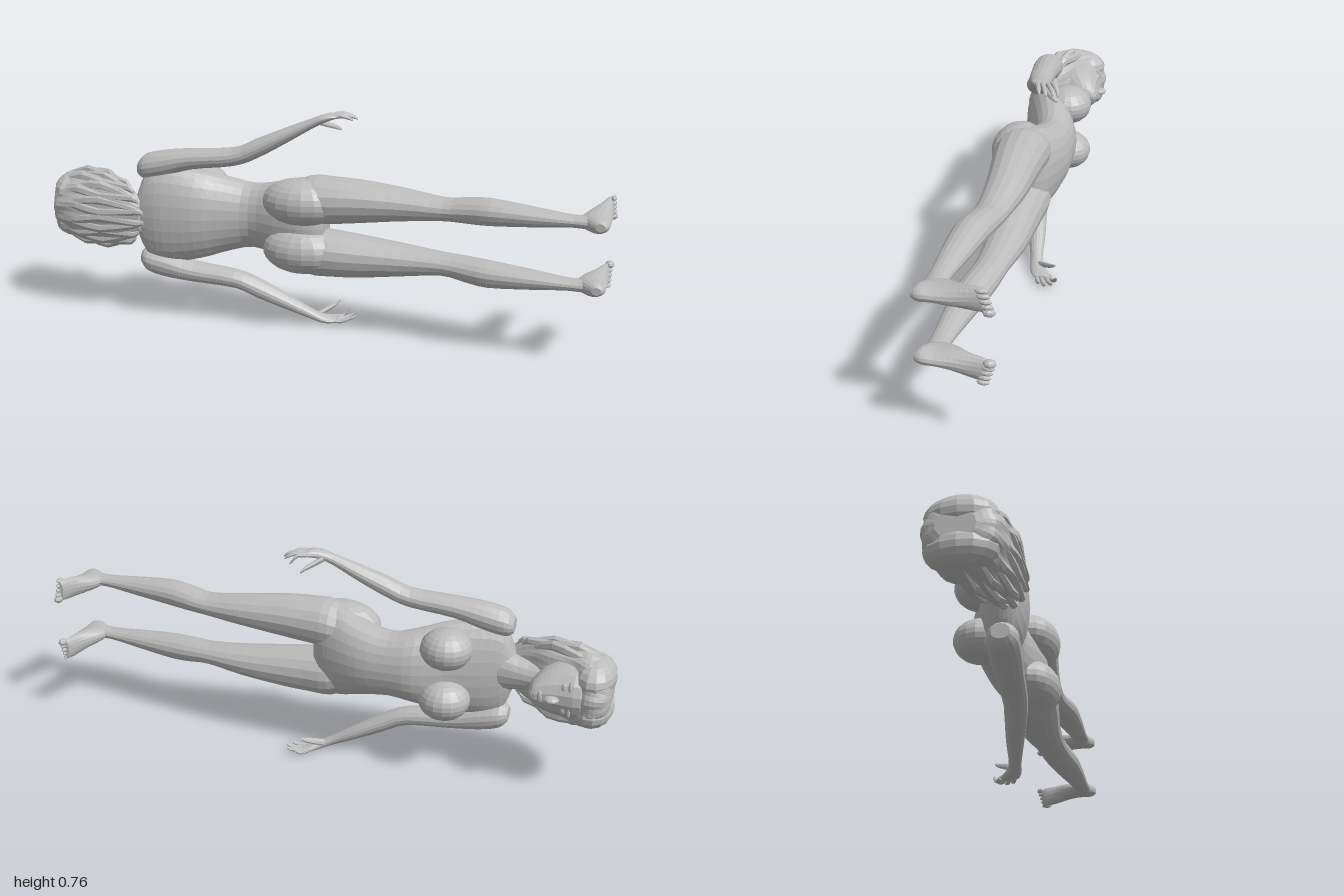
import * as THREE from 'three';

const MID = 0.39; // height of the figure's centre line

export function createModel() {
  const model = new THREE.Group();
  model.name = 'recliningFigure';
  const grey = new THREE.MeshStandardMaterial({ color: 0xbcbcbc });
  grey.name = 'stone grey';

  // Faceted mesh from any geometry
  function add(name, geo, parent = model) {
    const flat = geo.index ? geo.toNonIndexed() : geo;
    flat.computeVertexNormals();
    const mesh = new THREE.Mesh(flat, grey);
    mesh.name = name;
    parent.add(mesh);
    return mesh;
  }

  function ellipsoid(name, c, r, parent, segs = 14) {
    const geo = new THREE.SphereGeometry(1, segs, Math.round(segs * 0.7));
    geo.scale(...r).translate(...c);
    return add(name, geo, parent);
  }

  // Smooth value between listed cross-sections
  function sample(rows, t) {
    const i = Math.min(Math.floor(t), rows.length - 2), f = t - i;
    const at = (k) => rows[Math.max(0, Math.min(rows.length - 1, k))];
    return rows[i].map((b, k) => {
      const a = at(i - 1)[k], c = at(i + 1)[k], d = at(i + 2)[k];
      return b + 0.5 * f * (c - a + f * (2 * a - 5 * b + 4 * c - d + f * (3 * (b - c) + d - a)));
    });
  }

  // Loft of ellipses [position, centreU, centreV, radiusU, radiusV] along x (u=y, v=z) or z (u=x, v=y)
  function loft(name, rows, { axis = 'x', sides = 16, steps = 3, ripple = 0, waves = 9, parent } = {}) {
    const pos = [], idx = [], n = (rows.length - 1) * steps;
    const put = (p, u, v) => (axis === 'x' ? pos.push(p, u, v) : pos.push(u, v, p));
    for (let j = 0; j <= n; j++) {
      const [p, u, v, ru, rv] = sample(rows, j / steps);
      for (let i = 0; i < sides; i++) {
        const a = (i / sides) * Math.PI * 2;
        const w = 1 + ripple * Math.sin(a * waves + j * 0.35);
        put(p, u + Math.cos(a) * Math.max(ru, 0.001) * w, v + Math.sin(a) * Math.max(rv, 0.001) * w);
      }
    }
    const first = (n + 1) * sides, last = first + 1;
    put(...rows[0].slice(0, 3));
    put(...rows[rows.length - 1].slice(0, 3));
    for (let i = 0; i < sides; i++) {
      const k = (i + 1) % sides;
      for (let j = 0; j < n; j++) {
        const a = j * sides + i, b = j * sides + k;
        idx.push(a, b, b + sides, a, b + sides, a + sides);
      }
      idx.push(first, k, i, last, n * sides + i, n * sides + k);
    }
    const geo = new THREE.BufferGeometry();
    geo.setAttribute('position', new THREE.Float32BufferAttribute(pos, 3));
    geo.setIndex(idx);
    return add(name, geo, parent);
  }

  // Torso and neck
  loft('torso', [
    [-0.66, MID, 0.06, 0.05, 0.04], [-0.62, MID, 0.055, 0.155, 0.055], [-0.55, MID, 0.045, 0.178, 0.072],
    [-0.44, MID, 0.02, 0.163, 0.083], [-0.34, MID, -0.018, 0.136, 0.087], [-0.25, MID, -0.032, 0.117, 0.08],
    [-0.15, MID, -0.017, 0.136, 0.093], [-0.06, MID, 0.005, 0.163, 0.09], [0.0, MID, 0.015, 0.155, 0.072],
    [0.03, MID, 0.02, 0.09, 0.045],
  ], { sides: 24 });
  loft('neck', [[-0.8, MID, 0.02, 0.055, 0.055], [-0.71, MID, 0.035, 0.05, 0.05], [-0.61, MID, 0.05, 0.075, 0.055]]);

  // Head and simple face, looking towards -z
  loft('head', [
    [-0.96, MID, -0.01, 0.06, 0.06], [-0.9, MID, -0.01, 0.095, 0.105], [-0.83, MID, -0.01, 0.095, 0.105],
    [-0.78, MID, -0.03, 0.075, 0.085], [-0.745, MID, -0.055, 0.045, 0.058], [-0.73, MID, -0.06, 0.02, 0.025],
  ], { sides: 18 });
  ellipsoid('nose', [-0.81, MID, -0.117, ], [0.026, 0.012, 0.026], model, 10);
  ellipsoid('mouth', [-0.772, MID, -0.108], [0.01, 0.024, 0.012], model, 10);
  ellipsoid('chin', [-0.748, MID, -0.092], [0.017, 0.022, 0.022], model, 10);
  for (const s of [1, -1]) {
    ellipsoid('eye', [-0.846, MID + s * 0.038, -0.1], [0.01, 0.018, 0.01], model, 10);
    ellipsoid('brow', [-0.866, MID + s * 0.04, -0.1], [0.007, 0.026, 0.012], model, 10);
  }

  // Hair: rippled cap flowing back over the nape
  loft('hairCap', [
    [-0.99, MID, -0.01, 0.045, 0.06], [-0.97, MID, -0.004, 0.098, 0.105], [-0.915, MID, 0.002, 0.128, 0.12],
    [-0.85, MID, 0.033, 0.132, 0.095], [-0.77, MID, 0.058, 0.127, 0.075], [-0.7, MID, 0.083, 0.108, 0.05],
    [-0.63, MID, 0.095, 0.06, 0.03],
  ], { sides: 48, steps: 4, ripple: 0.025, waves: 13 });
  for (const s of [1, -1]) {
    // Halves of the crown beside the parting
    ellipsoid('crown', [-0.93, MID + s * 0.055, -0.005], [0.07, 0.065, 0.112]);
    for (let i = 0; i < 8; i++) {
      // Locks spaced from the temple round to the back
      const a = -0.25 + i * 0.24, c = Math.cos(a), d = Math.sin(a), wave = i % 2 ? 0.008 : -0.006;
      const end = -0.69 + 0.07 * (i / 7) + wave;
      loft('hairLock', [
        [-0.95, MID + s * 0.105 * c, 0.1 * d, 0.008, 0.008],
        [-0.87, MID + s * (0.122 * c + wave), 0.015 + 0.102 * d, 0.018, 0.017],
        [-0.78, MID + s * (0.122 * c - wave), 0.045 + 0.08 * d, 0.018, 0.016],
        [end - 0.02, MID + s * (0.1 * c + wave), 0.072 + 0.052 * d, 0.013, 0.012],
        [end, MID + s * 0.085 * c, 0.08 + 0.047 * d, 0.003, 0.003],
      ], { sides: 7, steps: 2 });
    }
  }

  for (const s of [1, -1]) {
    const label = s > 0 ? 'upper' : 'lower';
    const y = (off) => MID + s * off;
    const rows = (list) => list.map(([p, off, v, ru, rv]) => [p, y(off), v, ru, rv]);

    // Chest and seat volumes
    ellipsoid('chestForm', [-0.445, y(0.093), -0.052], [0.088, 0.07, 0.088], model, 18);
    ellipsoid('seatForm', [-0.05, y(0.086), 0.048], [0.14, 0.083, 0.092], model, 18);

    // Leg
    const leg = new THREE.Group();
    leg.name = label + 'Leg';
    model.add(leg);
    loft('legShape', rows([
      [-0.12, 0.075, 0.01, 0.055, 0.06], [-0.03, 0.091, 0.022, 0.083, 0.092], [0.06, 0.095, 0.025, 0.081, 0.09],
      [0.16, 0.098, 0.022, 0.073, 0.081], [0.3, 0.098, 0.018, 0.056, 0.069], [0.44, 0.096, 0.026, 0.039, 0.056],
      [0.52, 0.102, 0.038, 0.043, 0.056], [0.6, 0.107, 0.053, 0.045, 0.056], [0.74, 0.107, 0.067, 0.033, 0.045],
      [0.87, 0.107, 0.077, 0.02, 0.033], [0.95, 0.107, 0.08, 0.024, 0.038],
    ]), { parent: leg });

    // Foot, sole facing +x
    loft('foot', [
      [-0.092, 0.975, y(0.116), 0.01, 0.034], [-0.075, 0.97, y(0.116), 0.016, 0.039],
      [-0.03, 0.96, y(0.113), 0.027, 0.037], [0.02, 0.944, y(0.108), 0.044, 0.031],
      [0.07, 0.936, y(0.107), 0.052, 0.026], [0.11, 0.948, y(0.106), 0.037, 0.025],
      [0.13, 0.958, y(0.106), 0.016, 0.013],
    ], { axis: 'z', parent: leg });
    for (let i = 0; i < 5; i++) {
      const r = i ? 0.0095 - i * 0.0004 : 0.013;
      ellipsoid('toe', [0.983, y(0.085 + i * 0.0165), -0.096 + i * 0.005], [r * 1.2, r, 0.02], leg, 8);
    }

    // Arm
    const arm = new THREE.Group();
    arm.name = label + 'Arm';
    model.add(arm);
    loft('armShape', rows([
      [-0.648, 0.165, 0.05, 0.025, 0.03], [-0.62, 0.172, 0.05, 0.046, 0.05], [-0.55, 0.187, 0.046, 0.048, 0.053],
      [-0.45, 0.208, 0.04, 0.037, 0.047], [-0.3, 0.224, 0.03, 0.033, 0.041], [-0.22, 0.256, 0.018, 0.035, 0.038],
      [-0.125, 0.302, -0.002, 0.028, 0.031], [-0.04, 0.344, -0.018, 0.019, 0.022], [0.0, 0.362, -0.03, 0.016, 0.027],
      [0.03, 0.37, -0.048, 0.012, 0.034], [0.05, 0.37, -0.058, 0.007, 0.03],
    ]), { parent: arm });

    // Fingers and thumb: [tip x, tip z] for each finger
    [[0.08, -0.112], [0.102, -0.1], [0.112, -0.078], [0.1, -0.054]].forEach(([x, z], i) => {
      const z0 = -0.08 + i * 0.016, drop = i === 0 ? 0.02 : 0.008;
      loft('finger', rows([
        [0.03, 0.371, z0, 0.008, 0.008], [(0.03 + x) / 2, 0.374, (z0 + z) / 2, 0.0075, 0.0085],
        [x - 0.01, 0.37 - drop / 2, z + 0.004, 0.006, 0.007], [x, 0.367 - drop, z, 0.003, 0.003],
      ]), { sides: 8, steps: 2, parent: arm });
    });
    loft('thumb', rows([
      [-0.015, 0.352, -0.035, 0.012, 0.014], [0.012, 0.338, -0.062, 0.011, 0.014],
      [0.036, 0.325, -0.085, 0.008, 0.011], [0.048, 0.315, -0.1, 0.004, 0.005],
    ]), { sides: 8, steps: 2, parent: arm });
  }

  return model;
}
